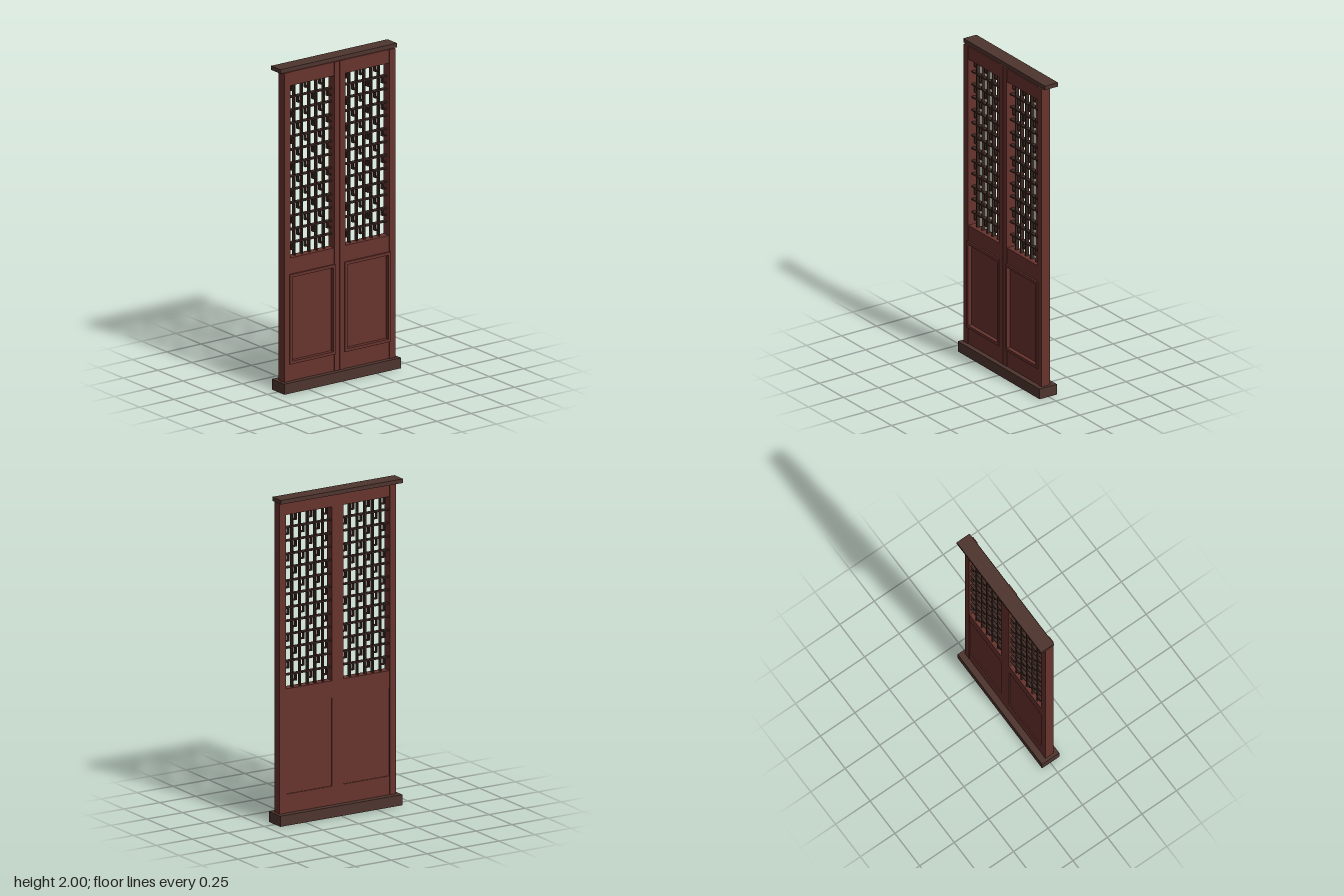
import * as THREE from 'three';

const mat = (name, color) => {
  const m = new THREE.MeshStandardMaterial({ color });
  m.name = name;
  return m;
};

export function createModel() {
  const red = mat('redWood', 0x67332d);
  const brown = mat('brownWood', 0x4e342e);
  const dark = mat('darkLattice', 0x3e2a24);

  // box given by its extents along each axis
  const slab = (parent, name, material, x0, x1, y0, y1, z0, z1) => {
    const mesh = new THREE.Mesh(new THREE.BoxGeometry(x1 - x0, y1 - y0, z1 - z0), material);
    mesh.position.set((x0 + x1) / 2, (y0 + y1) / 2, (z0 + z1) / 2);
    mesh.name = name;
    parent.add(mesh);
  };

  // rectangular ring with a rectangular hole
  const ring = (parent, name, material, [x0, x1, y0, y1], w, z0, z1) => {
    const rect = (C, a, b, c, d) => {
      const p = new C();
      p.moveTo(a, c); p.lineTo(b, c); p.lineTo(b, d); p.lineTo(a, d); p.closePath();
      return p;
    };
    const shape = rect(THREE.Shape, x0, x1, y0, y1);
    shape.holes.push(rect(THREE.Path, x0 + w, x1 - w, y0 + w, y1 - w));
    const geo = new THREE.ExtrudeGeometry(shape, { depth: z1 - z0, bevelEnabled: false });
    const mesh = new THREE.Mesh(geo, material);
    mesh.position.z = z0;
    mesh.name = name;
    parent.add(mesh);
  };

  const model = new THREE.Group();
  model.name = 'latticeDoor';

  // threshold and lintel
  slab(model, 'sill', brown, -0.425, 0.425, 0, 0.065, -0.06, 0.065);
  slab(model, 'lintel', brown, -0.425, 0.425, 1.975, 2, -0.067, 0.026);

  // lattice opening of one leaf, measured from the leaf's lower left corner
  const W = 0.404, L = 0.039, R = 0.36, Y0 = 0.825, Y1 = 1.89;
  const cols = 6, rows = 13, bar = 0.004, zb = -0.012, zf = 0.012;

  const makeLeaf = (name, x, mirrored) => {
    const leaf = new THREE.Group();
    leaf.name = name;
    leaf.position.x = x;
    const l = mirrored ? W - R : L, r = mirrored ? W - L : R;

    // frame: proud stiles, slightly lower rails
    slab(leaf, 'leftStile', red, 0, l, 0.065, 1.975, -0.022, 0.037);
    slab(leaf, 'rightStile', red, r, W, 0.065, 1.975, -0.022, 0.037);
    slab(leaf, 'bottomRail', red, l, r, 0.065, 0.18, -0.021, 0.033);
    slab(leaf, 'middleRail', red, l, r, 0.72, Y0, -0.021, 0.033);
    slab(leaf, 'topRail', red, l, r, Y1, 1.975, -0.021, 0.033);

    // recessed panel with a raised moulding in front
    slab(leaf, 'panel', red, l, r, 0.18, 0.72, -0.015, 0.018);
    ring(leaf, 'panelMoulding', red, [l - 0.007, r + 0.007, 0.17, 0.725], 0.018, 0.018, 0.044);

    // lattice grid
    const dx = (r - l) / cols, dy = (Y1 - Y0) / rows;
    for (let i = 1; i < cols; i++) {
      const c = l + i * dx;
      slab(leaf, 'verticalBar', dark, c - bar, c + bar, Y0, Y1, zb, zf);
    }
    for (let j = 1; j < rows; j++) {
      const c = Y0 + j * dy;
      slab(leaf, 'horizontalBar', dark, l, r, c - bar, c + bar, zb - 0.001, zf + 0.001);
    }

    // L-shaped hooks in alternating cells
    for (let j = 0; j < rows; j++) {
      for (let i = j % 2; i < cols; i += 2) {
        const cx = l + (i + 0.5) * dx, top = Y1 - j * dy, cy = top - dy / 2;
        slab(leaf, 'hookDrop', dark, cx - 0.003, cx + 0.003, cy - 0.003, top, zb + 0.001, zf - 0.001);
        slab(leaf, 'hookFoot', dark, cx + 0.003, cx + dx / 2, cy - 0.003, cy + 0.003, zb + 0.001, zf - 0.001);
      }
    }
    model.add(leaf);
  };

  // two leaves meeting at a fine gap
  makeLeaf('leftLeaf', 0.001, false);
  makeLeaf('rightLeaf', -0.405, true);
  return model;
}
